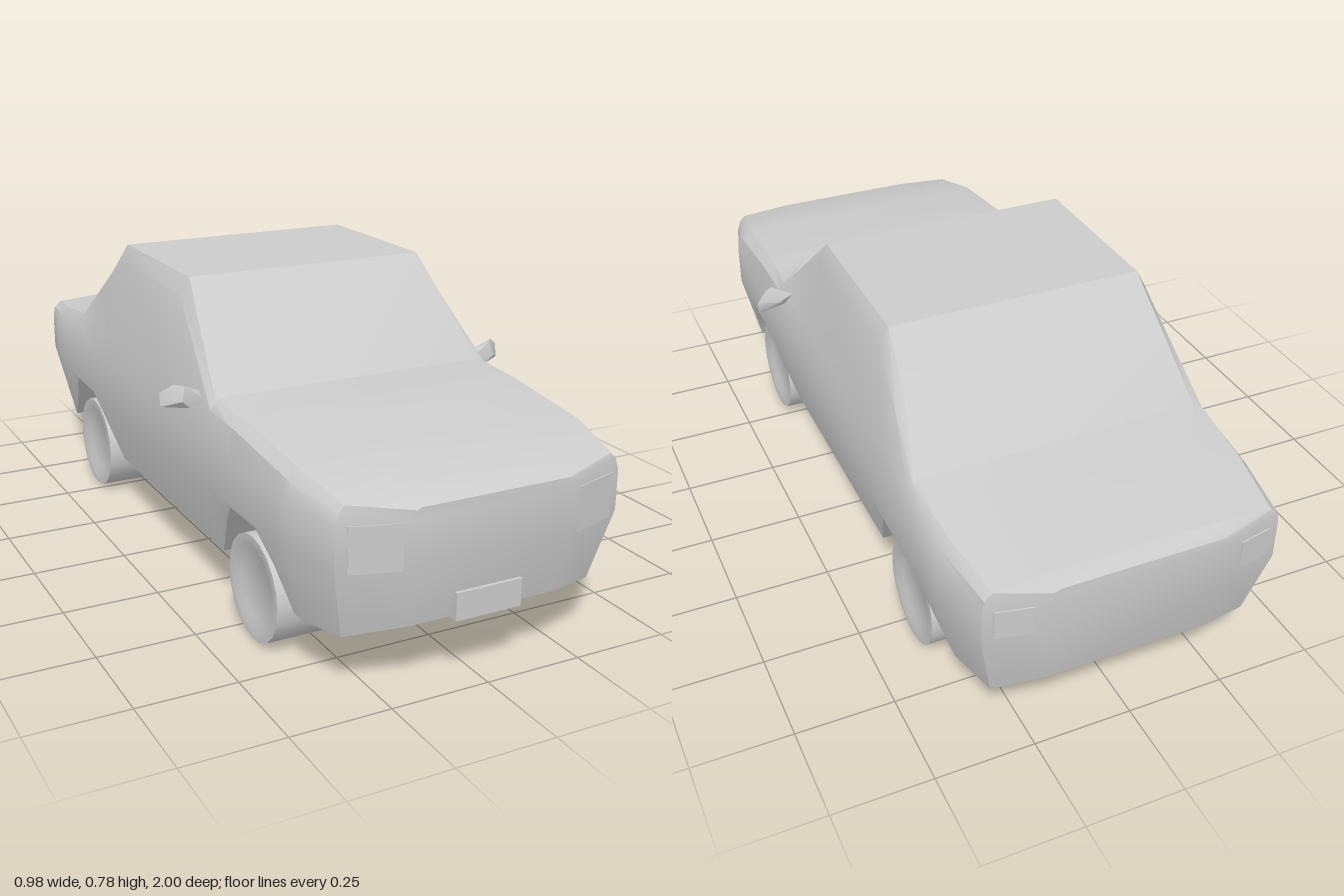
import * as THREE from 'three';
import { toCreasedNormals } from 'three/addons/utils/BufferGeometryUtils.js';
import { ConvexGeometry } from 'three/addons/geometries/ConvexGeometry.js';

const mat = new THREE.MeshStandardMaterial({ color: 0xcccccc });

// Body sections: z, floorY, sideX, beltX, beltY, shoulderX, shoulderY, topX, topY
const SECTIONS = [
  [1.00, 0.17, 0.21, 0.205, 0.44, 0.20, 0.455, 0.19, 0.46],
  [0.95, 0.15, 0.37, 0.36, 0.46, 0.345, 0.475, 0.20, 0.485],
  [0.80, 0.145, 0.41, 0.395, 0.48, 0.37, 0.505, 0.22, 0.515],
  [0.53, 0.145, 0.415, 0.40, 0.51, 0.375, 0.533, 0.25, 0.545],
  [0.38, 0.145, 0.415, 0.40, 0.515, 0.385, 0.535, 0.365, 0.545],
  [0.11, 0.145, 0.415, 0.40, 0.53, 0.36, 0.735, 0.335, 0.78],
  [-0.34, 0.145, 0.415, 0.40, 0.53, 0.36, 0.735, 0.335, 0.78],
  [-0.61, 0.145, 0.415, 0.40, 0.50, 0.385, 0.523, 0.36, 0.535],
  [-0.80, 0.145, 0.41, 0.395, 0.475, 0.375, 0.50, 0.25, 0.512],
  [-0.97, 0.15, 0.375, 0.37, 0.46, 0.35, 0.478, 0.22, 0.487],
  [-1.00, 0.17, 0.23, 0.225, 0.44, 0.22, 0.455, 0.20, 0.462],
];

// Wheel arch outline: z, height of the lower side edge
const ARCHES = [
  [1, 0], [0.76, 0.145], [0.71, 0.25], [0.65, 0.32], [0.52, 0.32], [0.48, 0.28], [0.38, 0.145],
  [-0.34, 0.145], [-0.47, 0.32], [-0.61, 0.325], [-0.70, 0.23], [-0.80, 0.145], [-1, 0],
];

// Linear interpolation in a table sorted from front to back
function sample(table, z) {
  let i = 0;
  while (i < table.length - 2 && z < table[i + 1][0]) i++;
  const a = table[i], b = table[i + 1], t = (z - a[0]) / (b[0] - a[0]);
  return a.map((v, k) => v + (b[k] - v) * t);
}

// Closed ring of points around the body at one station
function bodyRing(z) {
  const [, floor, side, beltX, beltY, shX, shY, topX, topY] = sample(SECTIONS, z);
  const arch = Math.max(floor, sample(ARCHES, z)[1]);
  const sillX = side * (0.89 + 0.11 * (arch - 0.145) / 0.185);
  const half = [
    [0, floor], [0.17, floor], [0.17, arch], [sillX, arch], [side, 0.33],
    [side, 0.43], [beltX, beltY], [shX, shY], [topX, topY], [0, topY],
  ];
  const mirrored = half.slice(1, -1).reverse().map(([x, y]) => [-x, y]);
  // the lower part of both bumpers is tucked in
  return [...half, ...mirrored].map(([x, y]) => {
    const tuck = Math.abs(z) > 0.9 ? 0.25 * Math.max(0, 0.3 - y) : 0;
    return new THREE.Vector3(x, y, z - Math.sign(z) * tuck);
  });
}

function bodyGeometry() {
  const stations = [...new Set([...SECTIONS, ...ARCHES].map(r => r[0]))].sort((a, b) => b - a);
  const rings = stations.map(bodyRing);
  const n = rings[0].length, pos = [];
  const tri = (a, b, c) => {
    const area = b.clone().sub(a).cross(c.clone().sub(a)).length();
    if (area > 1e-7) for (const p of [a, b, c]) pos.push(p.x, p.y, p.z);
  };
  for (let i = 0; i < rings.length - 1; i++) {
    for (let j = 0; j < n; j++) {
      const k = (j + 1) % n;
      tri(rings[i][j], rings[i + 1][j], rings[i][k]);
      tri(rings[i][k], rings[i + 1][j], rings[i + 1][k]);
    }
  }
  // end caps as strips between left and right
  const front = rings[0], back = rings[rings.length - 1];
  for (let j = 0; j < n / 2; j++) {
    const l = (n - j) % n, l2 = n - j - 1;
    tri(front[j], front[j + 1], front[l2]);
    tri(front[j], front[l2], front[l]);
    tri(back[j], back[l2], back[j + 1]);
    tri(back[j], back[l], back[l2]);
  }
  const geo = new THREE.BufferGeometry();
  geo.setAttribute('position', new THREE.Float32BufferAttribute(pos, 3));
  return toCreasedNormals(geo, 0.5);
}

// Tyre with a shallow dished hub on both faces
function wheelGeometry() {
  const profile = [
    [0, -0.083], [0.085, -0.083], [0.108, -0.094], [0.133, -0.094],
    [0.133, 0.094], [0.108, 0.094], [0.085, 0.083], [0, 0.083],
  ].map(([r, h]) => new THREE.Vector2(r, h));
  const geo = new THREE.LatheGeometry(profile, 20);
  geo.rotateZ(-Math.PI / 2);
  return toCreasedNormals(geo, 0.6);
}

// Door mirror, s = 1 for left and -1 for right
function mirrorGeometry(s) {
  const points = [
    [0.385, 0.525, 0.32], [0.385, 0.54, 0.30], [0.41, 0.515, 0.30], [0.43, 0.51, 0.325],
    [0.49, 0.51, 0.285], [0.49, 0.545, 0.28], [0.46, 0.567, 0.30], [0.44, 0.565, 0.32],
    [0.45, 0.53, 0.33], [0.43, 0.53, 0.285],
  ].map(([x, y, z]) => new THREE.Vector3(s * x, y, z));
  return toCreasedNormals(new ConvexGeometry(points), 0.7);
}

export function createModel() {
  const car = new THREE.Group();
  car.name = 'car';
  const add = (name, geo, x = 0, y = 0, z = 0, turn = 0) => {
    const mesh = new THREE.Mesh(geo, mat);
    mesh.name = name;
    mesh.position.set(x, y, z);
    mesh.rotation.y = turn;
    car.add(mesh);
  };

  add('body', bodyGeometry());
  add('numberPlate', new THREE.BoxGeometry(0.172, 0.068, 0.03), 0, 0.2, 0.974);

  const wheel = wheelGeometry();
  for (const [side, s] of [['Left', 1], ['Right', -1]]) {
    const x = s > 0 ? 0.28 : -0.291;
    add('frontWheel' + side, wheel, x, 0.133, 0.58);
    add('rearWheel' + side, wheel, x, 0.133, -0.55);
    add('mirror' + side, mirrorGeometry(s));
    // lamps lie almost flush on the angled corners
    add('headlight' + side, new THREE.BoxGeometry(0.12, 0.11, 0.012), s * 0.285, 0.375, 0.973, s * 0.30);
    add('tailLight' + side, new THREE.BoxGeometry(0.09, 0.075, 0.012), s * 0.305, 0.39, -0.982, -s * 0.20);
  }
  return car;
}
